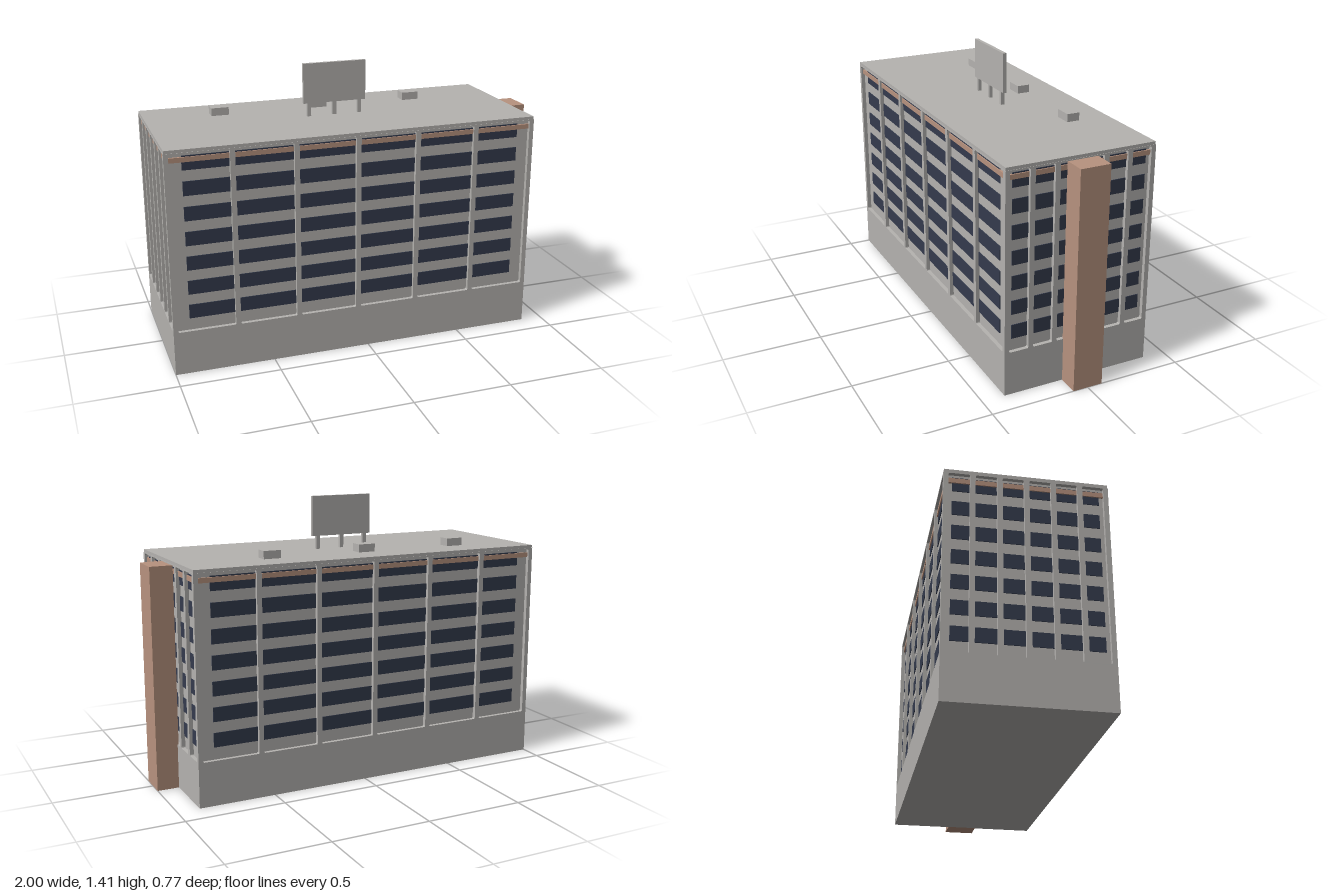
import * as THREE from 'three';

const CX = -0.055, HX = 0.945, HZ = 0.385; // block centre and half sizes
const BASE = 0.215, EAVES = 1.125, ROOF = 1.14, RECESS = 0.02;

function roundedHole(x0, x1, y0, y1, r) {
  const p = new THREE.Path();
  p.moveTo(x0 + r, y0);
  p.lineTo(x1 - r, y0); p.quadraticCurveTo(x1, y0, x1, y0 + r);
  p.lineTo(x1, y1 - r); p.quadraticCurveTo(x1, y1, x1 - r, y1);
  p.lineTo(x0 + r, y1); p.quadraticCurveTo(x0, y1, x0, y1 - r);
  p.lineTo(x0, y0 + r); p.quadraticCurveTo(x0, y0, x0 + r, y0);
  return p;
}

// Grid of piers with six tall openings, outer face at z = 0
function frameGeometry(half) {
  const s = new THREE.Shape();
  s.moveTo(-half, BASE); s.lineTo(half, BASE); s.lineTo(half, EAVES); s.lineTo(-half, EAVES);
  s.closePath();
  const edge = half - 0.023, gap = 0.025, pitch = (2 * edge + gap) / 6;
  for (let i = 0; i < 6; i++) {
    const x = -edge + i * pitch;
    s.holes.push(roundedHole(x, x + pitch - gap, 0.224, 1.12, 0.007));
  }
  const g = new THREE.ExtrudeGeometry(s, { depth: RECESS, bevelEnabled: false, curveSegments: 3 });
  return g.translate(0, 0, -RECESS);
}

export function createModel() {
  const model = new THREE.Group();
  model.name = 'officeBlock';
  const mat = (name, color) => {
    const m = new THREE.MeshStandardMaterial({ color });
    m.name = name;
    return m;
  };
  const concrete = mat('concrete', 0xb5b3b0);
  const terracotta = mat('terracotta', 0xb8937f);
  const glass = mat('darkGlass', 0x343b4d);

  const box = (name, material, x0, x1, y0, y1, z0, z1, parent = model) => {
    const m = new THREE.Mesh(new THREE.BoxGeometry(x1 - x0, y1 - y0, z1 - z0), material);
    m.position.set((x0 + x1) / 2, (y0 + y1) / 2, (z0 + z1) / 2);
    m.name = name;
    parent.add(m);
  };
  const block = (name, material, inset, y0, y1) =>
    box(name, material, CX - HX + inset, CX + HX - inset, y0, y1, -HZ + inset, HZ - inset);

  // Main volumes
  block('base', concrete, 0, 0, BASE);
  block('recessedWalls', concrete, RECESS, BASE, EAVES);
  block('terracottaBand', terracotta, RECESS - 0.01, 1.076, 1.1);
  block('roofSlab', concrete, 0.002, EAVES, ROOF);

  // Four facades: pier frame and seven window strips each
  const facades = [
    ['front', HX, 0.86, HZ, 0], ['left', HZ, 0.343, HX, Math.PI / 2],
    ['back', HX, 0.86, HZ, Math.PI], ['right', HZ, 0.343, HX, -Math.PI / 2],
  ];
  for (const [name, half, windowHalf, distance, angle] of facades) {
    const facade = new THREE.Group();
    facade.name = name + 'Facade';
    facade.position.x = CX;
    facade.rotation.y = angle;
    const frame = new THREE.Mesh(frameGeometry(half), concrete);
    frame.name = 'pierFrame';
    frame.position.z = distance;
    facade.add(frame);
    const wall = distance - RECESS;
    for (let i = 0; i < 7; i++) {
      const y = 0.285 + i * 0.125;
      box('windowStrip', glass, -windowHalf, windowHalf, y, y + 0.071, wall - 0.003, wall + 0.004, facade);
    }
    model.add(facade);
  }

  // Service shaft on the end wall
  box('serviceShaft', terracotta, 0.885, 1, 0, 1.12, -0.077, 0.077);

  // Rooftop units
  for (const x of [-0.615, -0.09, 0.43])
    box('rooftopUnit', concrete, x - 0.045, x + 0.045, ROOF, 1.18, -0.221, -0.155);

  // Roof sign panel on three posts
  box('signPanel', concrete, -0.22, 0.112, 1.207, 1.412, -0.009, 0.009);
  for (const x of [-0.19, -0.055, 0.08])
    box('signPost', concrete, x - 0.01, x + 0.01, ROOF, 1.207, -0.009, 0.009);

  return model;
}
